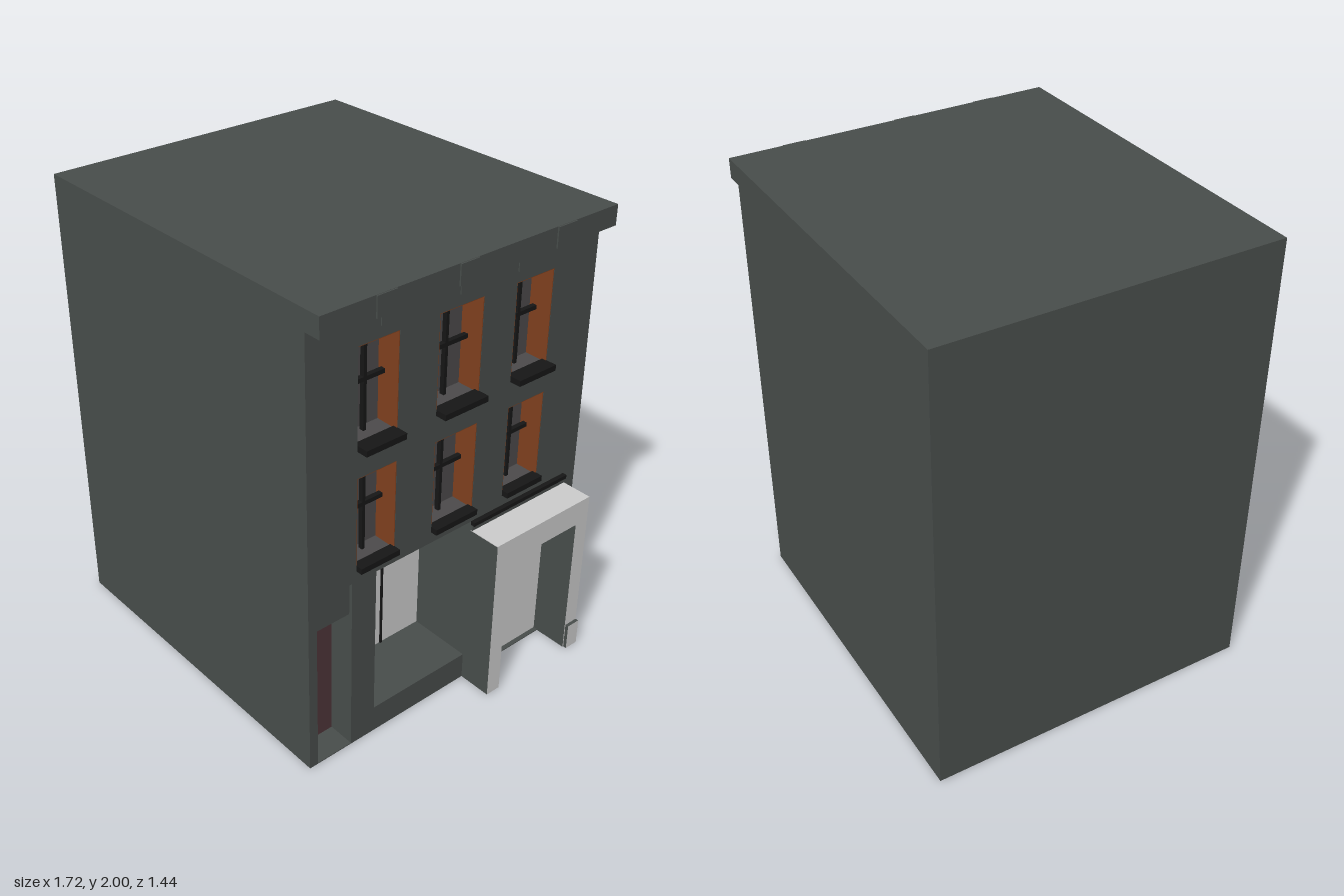
import * as THREE from 'three';

const mat = (color) => new THREE.MeshStandardMaterial({ color, side: THREE.DoubleSide });

export function createModel() {
  const group = new THREE.Group();
  const wall = mat(0x484d4b), light = mat(0xcccccc), dark = mat(0x161616);
  const glass = mat(0x4c4a4b), orange = mat(0x80401e), maroon = mat(0x4e3439);

  // box given by its limits along x, y and z
  function box(name, m, x0, x1, y0, y1, z0, z1) {
    const mesh = new THREE.Mesh(new THREE.BoxGeometry(x1 - x0, y1 - y0, z1 - z0), m);
    mesh.position.set((x0 + x1) / 2, (y0 + y1) / 2, (z0 + z1) / 2);
    mesh.name = name;
    group.add(mesh);
    return mesh;
  }

  // upright slab facing +x; points are (z, y), holes are [z0, z1, y0, y1]
  function slab(name, m, x0, x1, points, holes = []) {
    const shape = new THREE.Shape(points.map(([z, y]) => new THREE.Vector2(-z, y)));
    for (const [z0, z1, y0, y1] of holes) {
      shape.holes.push(new THREE.Path([[z0, y0], [z1, y0], [z1, y1], [z0, y1]]
        .map(([z, y]) => new THREE.Vector2(-z, y))));
    }
    const geo = new THREE.ExtrudeGeometry(shape, { depth: x1 - x0, bevelEnabled: false });
    const mesh = new THREE.Mesh(geo.rotateY(Math.PI / 2), m);
    mesh.position.x = x0;
    mesh.name = name;
    group.add(mesh);
  }

  const FRONT = 0.69, BACK = 0.40;
  const columns = [[0.30, 0.49], [-0.11, 0.11], [-0.48, -0.28]];
  const rows = [{ y0: 0.85, y1: 1.255, sill: 0.72 }, { y0: 1.37, y1: 1.785, sill: 0.74 }];
  const openings = [];
  for (const [z0, z1] of columns) for (const r of rows) openings.push([z0, z1, r.y0, r.y1]);

  // solid block and pierced street wall
  box('body', wall, -0.86, BACK, 0, 2, -0.72, 0.72);
  slab('facade', wall, BACK, FRONT, [
    [0.72, 0], [0.68, 0], [0.68, 0.8], [0.51, 0.8], [0.51, 0], [-0.18, 0], [-0.18, 0.65],
    [-0.58, 0.65], [-0.58, 0], [-0.72, 0], [-0.72, 2], [0.72, 2],
  ], [...openings, [-0.11, 0.39, 0.12, 0.8]]);

  // cornice with shallow blocks above the windows
  box('cornice', wall, FRONT, 0.765, 1.915, 2, -0.72, 0.72);
  for (const [z0, z1] of [[0.39, 0.48], [0.01, 0.10], [-0.49, -0.39]]) {
    box('corniceBlock', wall, FRONT, 0.771, 1.915, 1.999, z0, z1);
  }
  for (const [z0, z1] of [[0.30, 0.39], [-0.11, 0.015], [-0.39, -0.28]]) {
    box('cornicePanel', wall, FRONT, 0.694, 1.83, 1.915, z0, z1);
  }

  // windows: pane, coloured reveals, cross bars and sill
  const t = 0.003, PANE = 0.585, BAR = 0.62;
  columns.forEach(([z0, z1], c) => rows.forEach(({ y0, y1, sill }, r) => {
    const zm = (z0 + z1) / 2, ym = y0 + (y1 - y0) * 0.55;
    box('windowPane', glass, BACK, PANE, y0, y1, z0, z1);
    box('windowLintel', orange, PANE, FRONT - 0.001, y1 - t, y1, z0, z1);
    box('windowReveal', orange, PANE, FRONT - 0.001, y0, y1, z0, z0 + t);
    if (!(c === 0 && r === 1)) box('windowReveal', orange, PANE, FRONT - 0.001, y0, y1, z1 - t, z1);
    box('windowFloor', glass, PANE, FRONT, y0, y0 + 0.018, z0, z1);
    box('windowMullion', dark, BAR - 0.02, BAR, y0, y1, zm - 0.007, zm + 0.007);
    box('windowTransom', dark, BAR - 0.02, BAR, ym - 0.009, ym + 0.009, z0, z1);
    box('windowSill', dark, FRONT - 0.02, sill, y0, y0 + 0.025, z0, z1);
  }));

  // side entrance
  box('sideDoor', maroon, BACK, 0.57, 0, 0.65, 0.51, 0.68);
  box('sideDoorPanel', wall, BACK, 0.675, 0.65, 0.8, 0.51, 0.68);
  box('sideDoorFloor', wall, 0.57, FRONT, 0, 0.004, 0.51, 0.68);

  // deep shop window
  box('shopBack', light, BACK, BACK + 0.005, 0.12, 0.8, -0.11, 0.39);
  box('shopMullion', dark, BACK, BACK + 0.012, 0.12, 0.8, 0.098, 0.107);

  // projecting portal with light front and top
  slab('portal', [light, wall], FRONT, 0.84, [
    [-0.11, 0], [-0.18, 0], [-0.18, 0.65], [-0.58, 0.65], [-0.58, 0], [-0.65, 0],
    [-0.65, 0.757], [-0.11, 0.757],
  ]);
  box('portalTop', light, FRONT, 0.84, 0.757, 0.76, -0.65, -0.11);
  box('portalDoor', light, BACK, 0.67, 0, 0.65, -0.58, -0.18);
  box('portalFloor', wall, 0.67, FRONT, 0, 0.004, -0.58, -0.18);
  box('portalPlinth', [light, wall, wall, wall, wall, wall], 0.84, 0.855, 0, 0.12, -0.65, -0.585);
  box('signRail', dark, FRONT, 0.71, 0.785, 0.802, -0.65, -0.11);
  box('signBoard', wall, FRONT, 0.7, 0.76, 0.785, -0.65, -0.11);

  return group;
}
